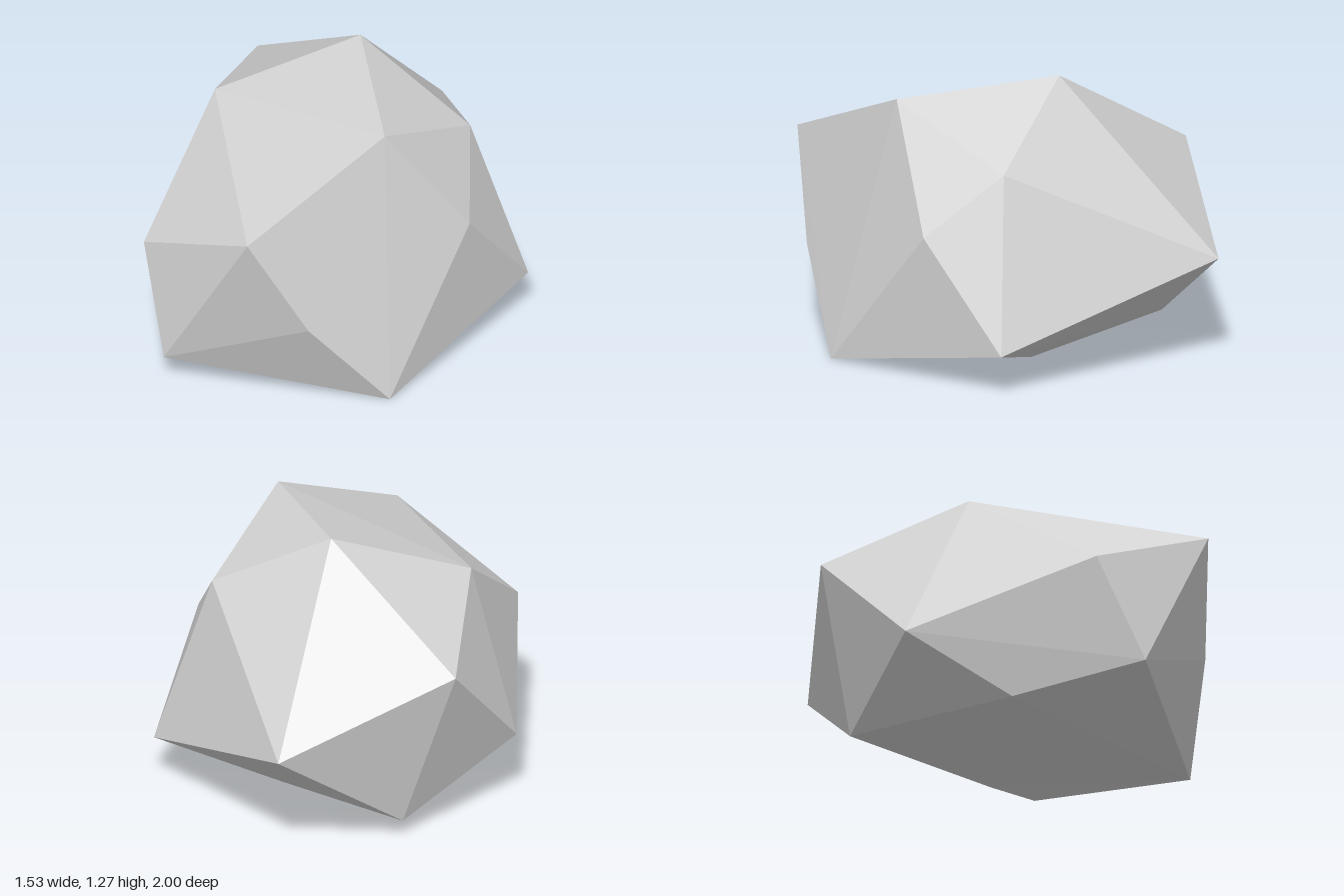
import * as THREE from 'three';
import { ConvexGeometry } from 'three/addons/geometries/ConvexGeometry.js';

export function createModel() {
  const group = new THREE.Group();
  group.name = 'rock';

  const stoneGrey = new THREE.MeshStandardMaterial({ color: 0xd3d3d3, flatShading: true });
  stoneGrey.name = 'stoneGrey';

  // Corners of the faceted boulder
  const corners = [
    // crown
    [-0.015, 1.27, -0.235], [0.533, 1.21, 0.265], [-0.47, 1.03, 0.235], [0.54, 0.97, -0.33],
    // front face
    [0.315, 0.89, 0.968], [-0.345, 0.6, 0.89], [0.51, 0.42, 0.775], [-0.14, 0.125, 1.0],
    // sides and back
    [-0.745, 0.82, -0.405], [-0.765, 0.325, 0.12], [0.765, 0.68, -0.05],
    [0.758, 0.2, -0.472], [-0.17, 0.515, -1.0],
    // underside
    [0.738, 0, 0.48], [-0.435, 0.01, 0.465], [0.22, 0.01, -0.25], [-0.5, 0.075, -0.45],
  ].map((p) => new THREE.Vector3(...p));

  const boulder = new THREE.Mesh(new ConvexGeometry(corners), stoneGrey);
  boulder.name = 'boulder';
  group.add(boulder);
  return group;
}
